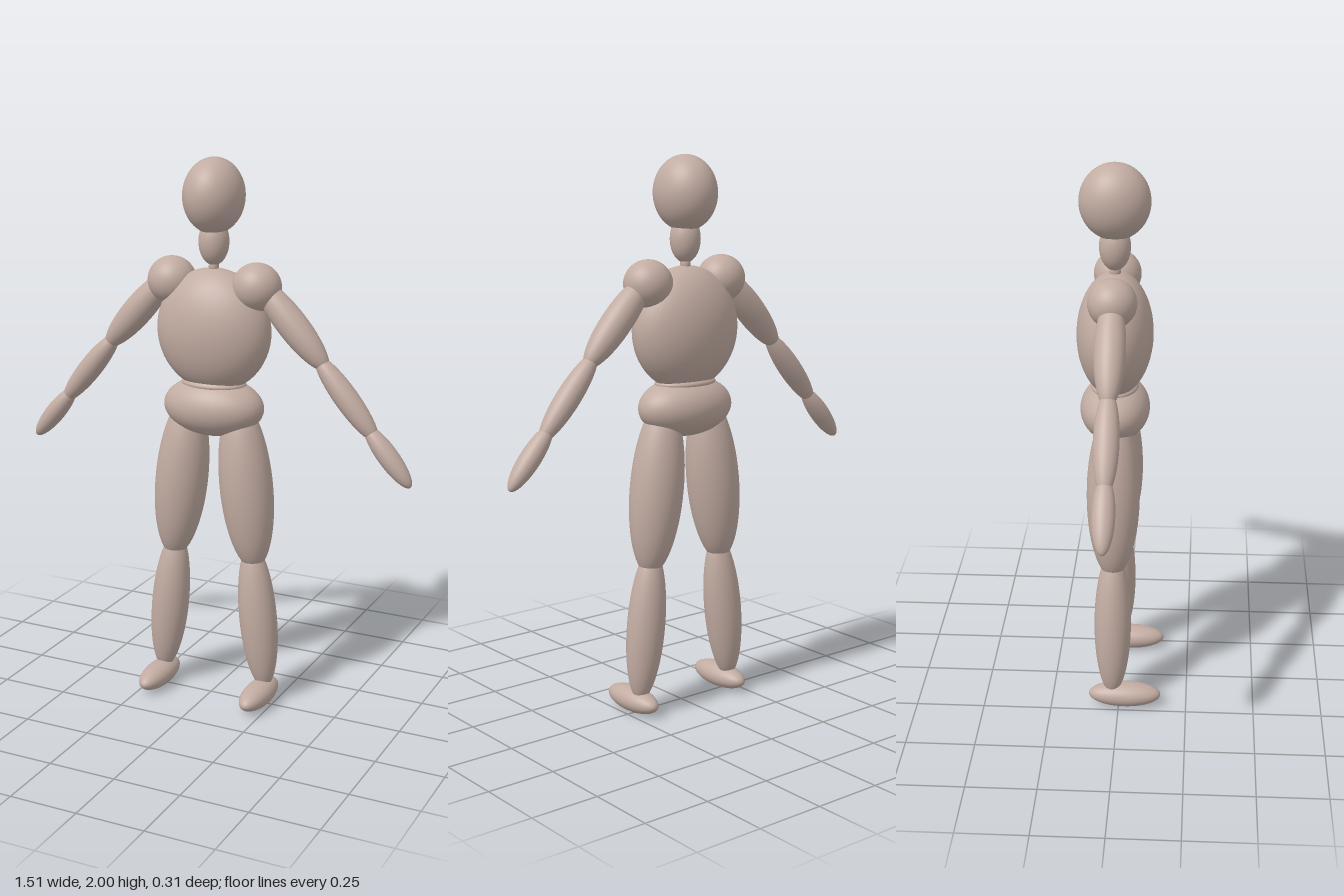
import * as THREE from 'three';

const skin = new THREE.MeshStandardMaterial({ color: 0xc2aca2 });
skin.name = 'clay';
const Z = -0.023; // depth of the body's centre plane
const UP = new THREE.Vector3(0, 1, 0);

// Smooth ellipsoid whose y axis is turned along dir
function ellipsoid(name, center, radii, dir = [0, 1, 0]) {
  const mesh = new THREE.Mesh(new THREE.SphereGeometry(1, 48, 32), skin);
  mesh.name = name;
  mesh.position.set(...center);
  mesh.scale.set(...radii);
  mesh.quaternion.setFromUnitVectors(UP, new THREE.Vector3(...dir).normalize());
  return mesh;
}

export function createModel() {
  const model = new THREE.Group();
  model.name = 'mannequin';

  // Head and trunk
  model.add(
    ellipsoid('head', [0, 1.867, Z], [0.107, 0.133, 0.124]),
    ellipsoid('neck', [0, 1.708, Z], [0.054, 0.084, 0.055]),
    ellipsoid('neckBase', [0, 1.62, Z], [0.018, 0.03, 0.02]),
    ellipsoid('chest', [0, 1.393, Z], [0.215, 0.222, 0.135]),
    ellipsoid('waist', [0, 1.2, Z], [0.122, 0.03, 0.085]),
    ellipsoid('pelvis', [0, 1.115, Z], [0.19, 0.108, 0.124])
  );

  // Limbs, mirrored across x
  for (const [side, s] of [['left', 1], ['right', -1]]) {
    const arm = new THREE.Group();
    arm.name = side + 'Arm';
    arm.add(
      ellipsoid('shoulder', [s * 0.165, 1.56, Z], [0.088, 0.085, 0.085]),
      ellipsoid('upperArm', [s * 0.3, 1.44, Z], [0.054, 0.2, 0.054], [s * 0.115, -0.127, 0]),
      ellipsoid('forearm', [s * 0.507, 1.2, Z], [0.042, 0.182, 0.044], [s * 0.187, -0.224, 0]),
      ellipsoid('hand', [s * 0.664, 1.012, Z], [0.036, 0.132, 0.039], [s * 0.647, -0.762, 0])
    );
    const leg = new THREE.Group();
    leg.name = side + 'Leg';
    leg.add(
      ellipsoid('thigh', [s * 0.13, 0.83, Z], [0.097, 0.315, 0.095], [s * 0.03, -0.27, 0]),
      ellipsoid('shin', [s * 0.181, 0.33, Z], [0.07, 0.28, 0.067], [s * 0.05, -0.48, 0]),
      ellipsoid('foot', [s * 0.207, 0.045, 0.022], [0.053, 0.045, 0.133])
    );
    model.add(arm, leg);
  }
  return model;
}
